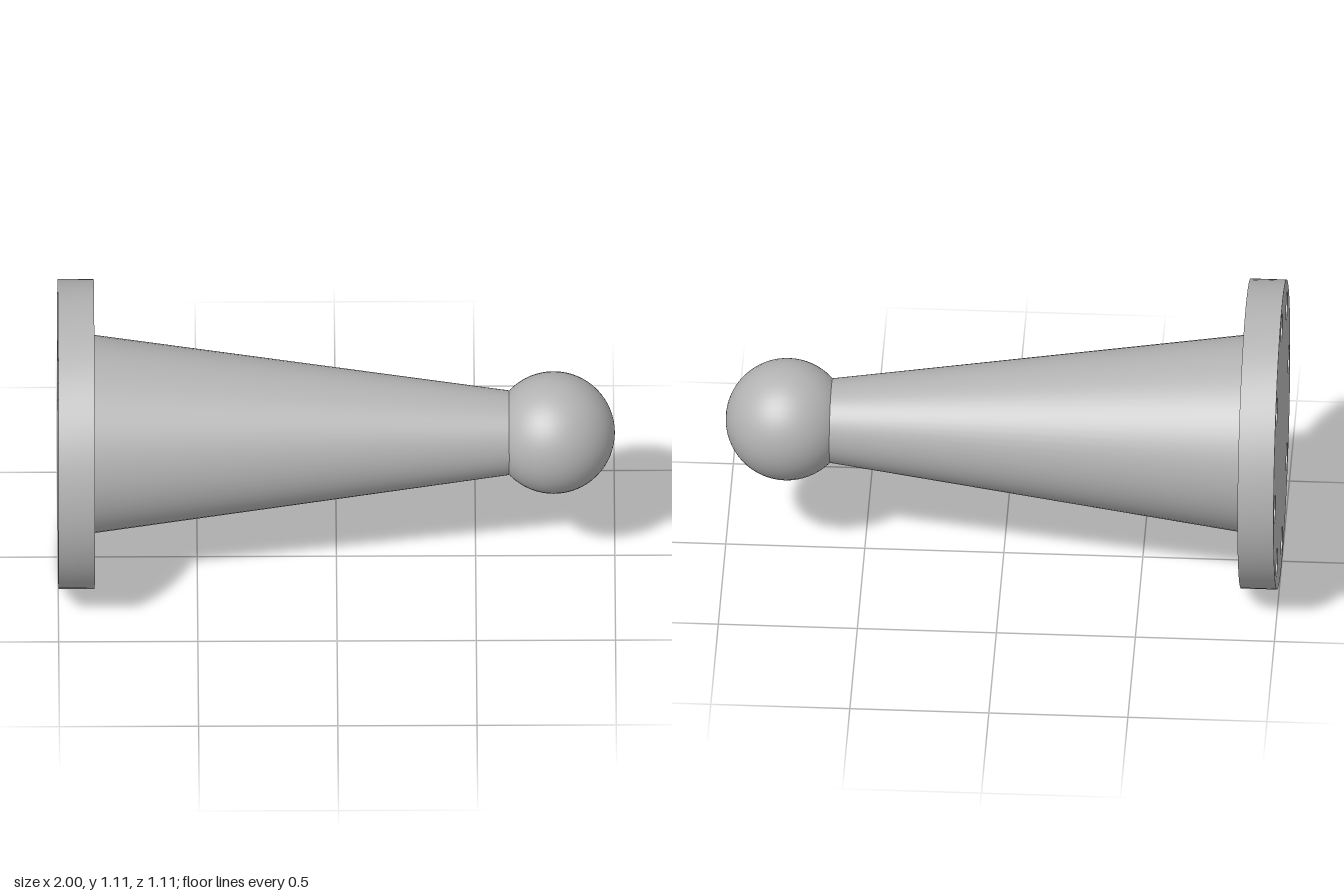
import * as THREE from 'three';
import { toCreasedNormals } from 'three/addons/utils/BufferGeometryUtils.js';

const AXIS_Y = 0.558;

export function createModel() {
  const model = new THREE.Group();
  model.name = 'flangedBallPost';

  const metal = new THREE.MeshStandardMaterial({ color: 0xb3b3b3 });
  metal.name = 'grey metal';

  const add = (name, geometry, x) => {
    const mesh = new THREE.Mesh(geometry, metal);
    mesh.name = name;
    mesh.position.set(x, AXIS_Y, 0);
    model.add(mesh);
  };

  // Round mounting flange with a ring of eight bolt holes
  const disc = new THREE.Shape().absarc(0, 0, 0.557, 0, Math.PI * 2);
  for (let i = 0; i < 8; i++) {
    const a = (i * Math.PI) / 4;
    disc.holes.push(
      new THREE.Path().absarc(0.468 * Math.cos(a), 0.468 * Math.sin(a), 0.052, 0, Math.PI * 2, true)
    );
  }
  const flange = new THREE.ExtrudeGeometry(disc, { depth: 0.13, bevelEnabled: false, curveSegments: 40 });
  flange.rotateY(Math.PI / 2);
  add('flange', toCreasedNormals(flange, 0.6), -1);

  // Tapered post running from the flange to the ball
  const post = new THREE.CylinderGeometry(0.152, 0.356, 1.49, 64, 1, true);
  post.rotateZ(-Math.PI / 2);
  add('taperedPost', post, -0.125);

  // Ball at the tip
  const ball = new THREE.SphereGeometry(0.22, 48, 32);
  ball.rotateZ(-Math.PI / 2);
  add('ball', ball, 0.78);

  return model;
}
